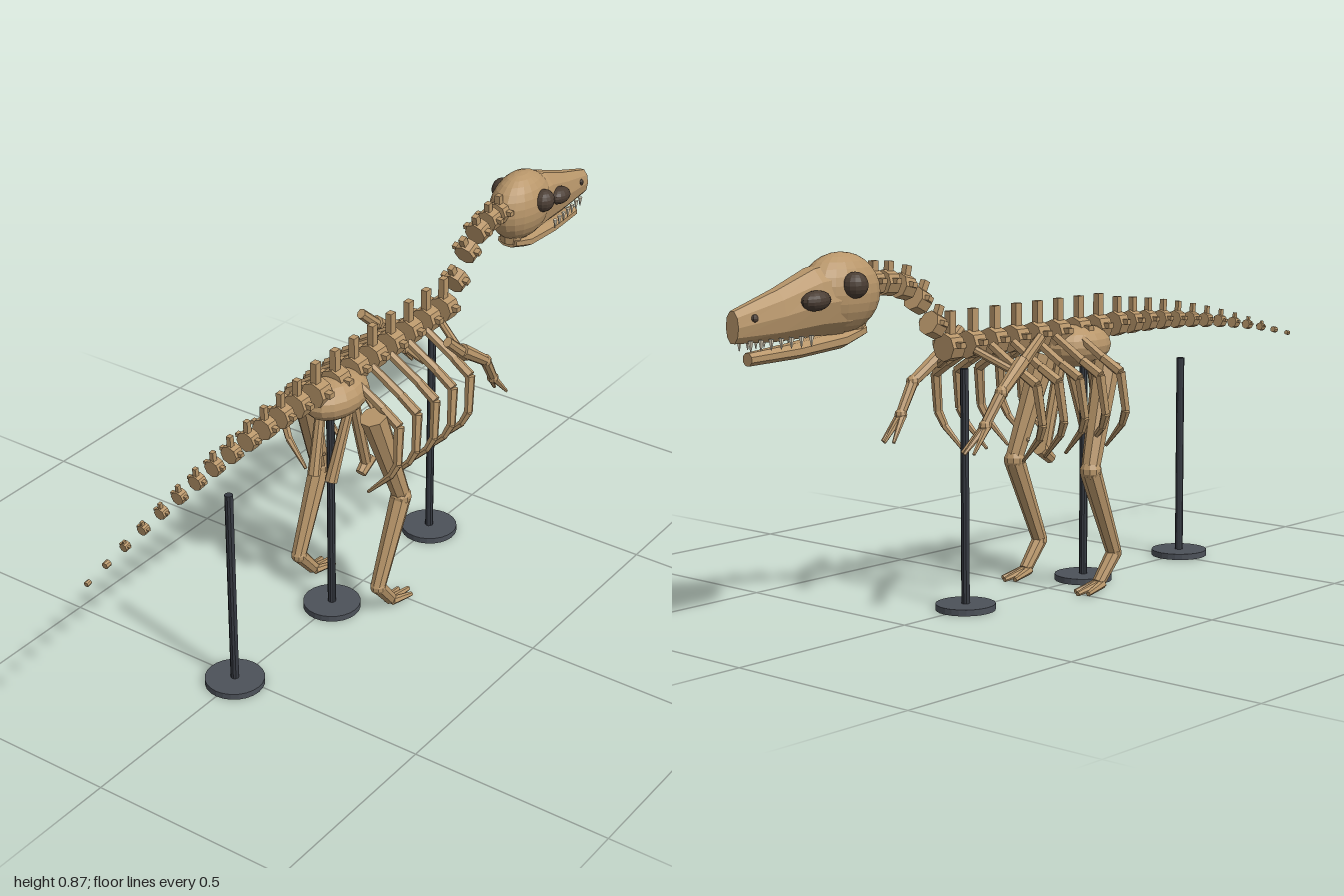
import * as THREE from 'three';

const mat = (name, color, flat = true) => {
  const m = new THREE.MeshStandardMaterial({ color, flatShading: flat, side: THREE.FrontSide });
  m.name = name;
  return m;
};

export function createModel() {
  const bone = mat('bone', 0xb8966a);
  const socket = mat('dark socket', 0x4a3d33);
  const tooth = mat('tooth ivory', 0xe6dcc4);
  const metal = mat('stand rod', 0x363a42);
  const base = mat('stand base', 0x4c5159);
  const root = new THREE.Group();
  root.name = 'skeleton';
  const V = (x, y, z) => new THREE.Vector3(x, y, z);

  const add = (name, geo, m, x = 0, y = 0, z = 0, parent = root) => {
    const mesh = new THREE.Mesh(geo, m);
    mesh.name = name;
    mesh.position.set(x, y, z);
    parent.add(mesh);
    return mesh;
  };
  // tapered strut between two points
  const strut = (name, a, b, ra, rb, parent = root, m = bone, sides = 8) => {
    const A = V(...a), B = V(...b), d = B.clone().sub(A);
    const mesh = add(name, new THREE.CylinderGeometry(rb, ra, d.length(), sides), m, 0, 0, 0, parent);
    mesh.position.copy(A).add(B).multiplyScalar(0.5);
    mesh.quaternion.setFromUnitVectors(V(0, 1, 0), d.normalize());
    return mesh;
  };
  const ball = (name, p, rx, ry, rz, m = bone, parent = root, w = 12, h = 8) => {
    const mesh = add(name, new THREE.SphereGeometry(1, w, h), m, ...p, parent);
    mesh.scale.set(rx, ry, rz);
    return mesh;
  };
  // closed loft along x through elliptical sections [x, y, halfHeight, halfWidth]
  const loft = (name, sections, sides, parent) => {
    const pos = [], idx = [], n = sections.length;
    sections.forEach(([x, y, ry, rz]) => {
      for (let j = 0; j < sides; j++) {
        const a = ((j + 0.5) / sides) * Math.PI * 2;
        pos.push(x, y + Math.cos(a) * ry, Math.sin(a) * rz);
      }
    });
    for (let i = 0; i < n - 1; i++) for (let j = 0; j < sides; j++) {
      const k = (j + 1) % sides, a = i * sides + j, b = i * sides + k, c = a + sides, d = b + sides;
      idx.push(a, c, b, b, c, d);
    }
    for (let j = 1; j < sides - 1; j++) {
      idx.push(0, j, j + 1);
      const e = (n - 1) * sides;
      idx.push(e, e + j + 1, e + j);
    }
    const g = new THREE.BufferGeometry();
    g.setAttribute('position', new THREE.Float32BufferAttribute(pos, 3));
    // outward winding: ring angle runs from +y toward +z
    for (let i = 0; i < idx.length; i += 3) [idx[i + 1], idx[i + 2]] = [idx[i + 2], idx[i + 1]];
    g.setIndex(idx);
    g.computeVertexNormals();
    return add(name, g, bone, 0, 0, 0, parent);
  };

  // vertebra: round body, upright spine and side processes
  const vertebra = (name, x, y, r, len, spine, tilt = 0) => {
    const g = new THREE.Group();
    g.name = name;
    g.position.set(x, y, 0);
    g.rotation.z = tilt;
    root.add(g);
    add('vertebraBody', new THREE.CylinderGeometry(r, r, len, 8).rotateZ(Math.PI / 2), bone, 0, 0, 0, g);
    if (spine > 0) {
      add('neuralSpine', new THREE.BoxGeometry(len * 0.5, spine, r * 0.5), bone, -len * 0.1, r + spine / 2 - 0.006, 0, g);
      add('sideProcess', new THREE.BoxGeometry(len * 0.45, r * 0.4, r * 2.7), bone, 0, r * 0.2, 0, g);
    }
  };
  for (let i = 0; i < 13; i++) {
    const x = -0.994 + i * 0.0613, t = (-0.258 - x) / 0.736;
    vertebra('tailVertebra', x, 0.628 - 0.088 * t * t, 0.031 - 0.025 * t, 0.032 - 0.02 * t, i < 2 ? 0 : 0.036 * (1 - t) + 0.006, 0.2 * t);
  }
  for (let i = 0; i < 8; i++) vertebra('backVertebra', -0.185 + i * 0.0757, 0.625, 0.033, 0.04, 0.056);
  [[0.398, 0.68, 0.7], [0.447, 0.74, 0.75], [0.495, 0.775, 0.4], [0.545, 0.787, 0.15], [0.59, 0.79, 0]].forEach(
    ([x, y, tilt]) => vertebra('neckVertebra', x, y, 0.029, 0.034, 0.026, tilt * 0.6));

  // pelvis with the two lower hip bones
  ball('pelvis', [-0.11, 0.588, 0], 0.1, 0.053, 0.067, bone, root, 16, 10);
  strut('pubis', [-0.05, 0.57, 0], [0.012, 0.34, 0], 0.015, 0.014);
  strut('pubisFoot', [-0.01, 0.32, 0], [0.03, 0.35, 0], 0.014, 0.018);

  for (const s of [1, -1]) {
    const side = s > 0 ? 'near' : 'far';
    const group = (name) => {
      const g = new THREE.Group();
      g.name = side + name;
      root.add(g);
      return g;
    };
    strut('ischium', [-0.11, 0.57, s * 0.04], [-0.167, 0.385, s * 0.025], 0.012, 0.016);

    // hind leg
    const leg = group('HindLeg');
    strut('thighBone', [-0.1, 0.555, s * 0.1], [-0.015, 0.31, s * 0.122], 0.034, 0.023, leg);
    ball('knee', [-0.015, 0.303, s * 0.122], 0.027, 0.027, 0.027, bone, leg, 10, 7);
    strut('shinBone', [-0.015, 0.3, s * 0.122], [-0.106, 0.09, s * 0.12], 0.026, 0.019, leg);
    ball('ankle', [-0.106, 0.088, s * 0.12], 0.02, 0.02, 0.02, bone, leg, 10, 7);
    strut('footBone', [-0.106, 0.088, s * 0.12], [-0.05, 0.022, s * 0.118], 0.019, 0.016, leg);
    for (const k of [-1, 0, 1])
      strut('toe', [-0.055, 0.02, s * 0.118 + k * 0.009], [k ? 0.012 : 0.028, 0.008, s * 0.118 + k * 0.02], 0.011, 0.006, leg, bone, 6);

    // front limb
    const arm = group('Arm');
    strut('shoulderBlade', [0.255, 0.57, s * 0.127], [0.17, 0.643, s * 0.127], 0.013, 0.011, arm).scale.x = 1.2;
    strut('collarBone', [0.29, 0.615, s * 0.03], [0.25, 0.565, s * 0.125], 0.01, 0.01, arm);
    strut('upperArm', [0.235, 0.592, s * 0.127], [0.322, 0.53, s * 0.14], 0.018, 0.014, arm);
    ball('elbow', [0.322, 0.53, s * 0.14], 0.016, 0.016, 0.016, bone, arm, 8, 6);
    strut('forearm', [0.322, 0.53, s * 0.14], [0.37, 0.46, s * 0.133], 0.014, 0.012, arm);
    ball('wrist', [0.37, 0.458, s * 0.133], 0.015, 0.015, 0.015, bone, arm, 8, 6);
    for (const k of [-1, 0, 1])
      strut('finger', [0.37, 0.455, s * 0.133 + k * 0.006], [0.432 - Math.abs(k) * 0.012, 0.4, s * 0.126 + k * 0.018], 0.009, 0.004, arm, bone, 6);

    // ribs, swept back toward the tip
    for (let i = 0; i < 5; i++) {
      const x = -0.075 + i * 0.0757, rib = group('Rib');
      const path = [[0, 0.62, 0.025], [0, 0.568, 0.11], [-0.005, 0.538, 0.16], [-0.018, 0.445, 0.166], [-0.024, 0.41, 0.15], [-0.034, 0.35, 0.092]];
      const radii = [0.011, 0.012, 0.013, 0.011, 0.009, 0.004];
      for (let k = 0; k < 5; k++) {
        const [a, b] = [path[k], path[k + 1]].map((p) => [x + p[0], p[1], s * p[2]]);
        strut('ribSegment', a, b, radii[k], radii[k + 1], rib, bone, 6);
      }
    }

    // openings of the skull and upper teeth
    ball('eyeSocket', [0.703, 0.797, s * 0.062], 0.031, 0.029, 0.027, socket, root, 14, 10);
    ball('cheekOpening', [0.805, 0.77, s * 0.047], 0.038, 0.022, 0.025, socket, root, 14, 10).rotation.z = -0.05;
    ball('nostril', [0.957, 0.743, s * 0.021], 0.01, 0.009, 0.008, socket, root, 8, 6);
    for (let i = 0; i < 7; i++)
      strut('tooth', [0.81 + i * 0.026, 0.696, s * (0.036 - i * 0.003)], [0.81 + i * 0.026, 0.672, s * (0.036 - i * 0.003)], 0.006, 0.001, root, tooth, 5);
  }

  // skull and lower jaw
  ball('cranium', [0.69, 0.776, 0], 0.106, 0.089, 0.066, bone, root, 20, 14);
  loft('snout', [[0.7, 0.767, 0.083, 0.062], [0.78, 0.762, 0.076, 0.052], [0.88, 0.742, 0.058, 0.036], [1, 0.726, 0.036, 0.02]], 10);
  loft('lowerJaw', [[0.635, 0.692, 0.016, 0.03], [0.7, 0.675, 0.02, 0.037], [0.83, 0.662, 0.018, 0.03], [0.96, 0.655, 0.015, 0.015]], 8);
  strut('jawHinge', [0.655, 0.725, 0], [0.65, 0.685, 0], 0.035, 0.026);

  // display stands
  [[-0.52, 0.517], [-0.133, 0.56], [0.295, 0.57]].forEach(([x, h]) => {
    add('standBase', new THREE.CylinderGeometry(0.071, 0.071, 0.015, 24), base, x, 0.0075, 0);
    add('standRod', new THREE.CylinderGeometry(0.01, 0.01, h, 10), metal, x, h / 2, 0);
  });
  return root;
}
